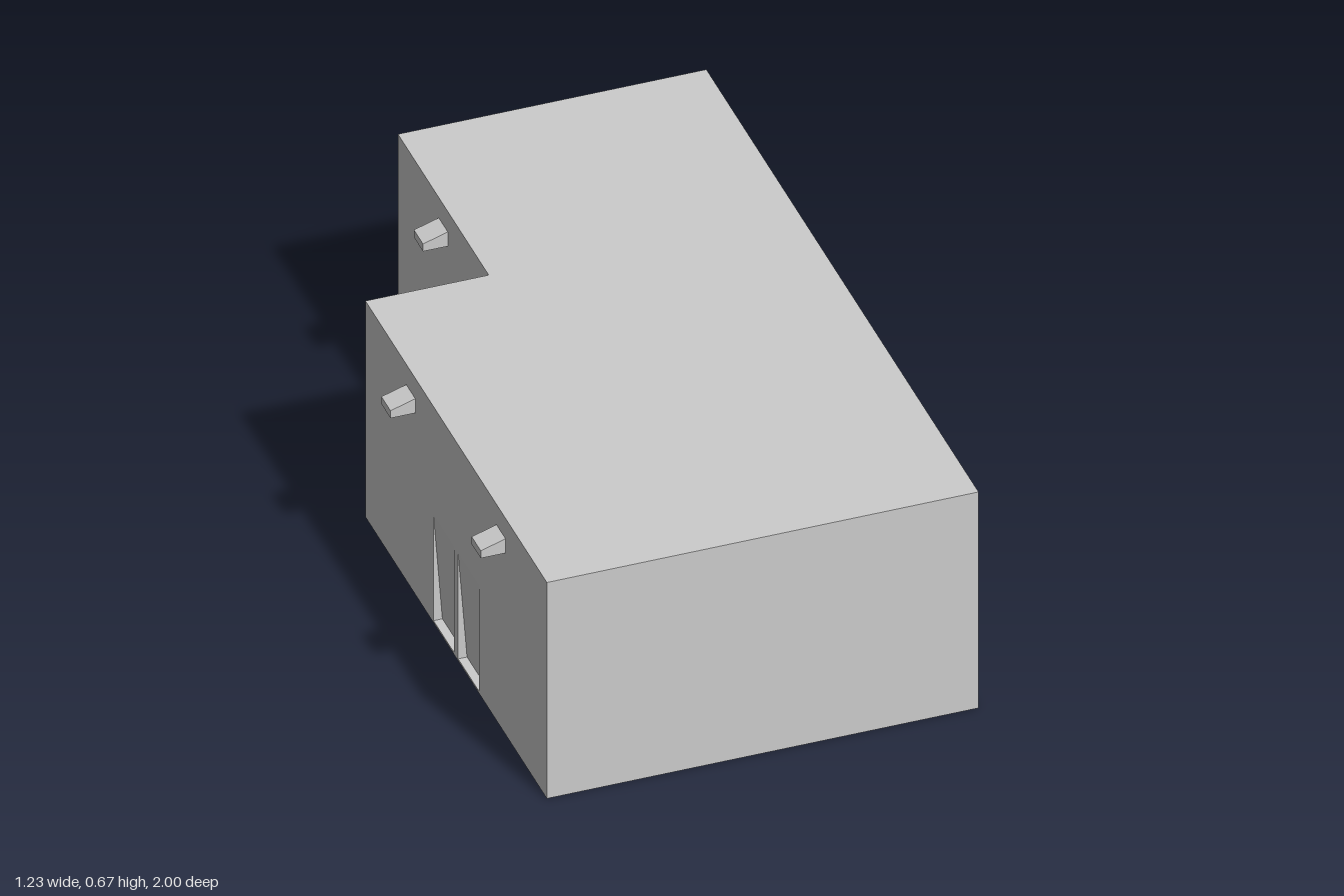
import * as THREE from 'three';

const H = 0.667;                       // wall height
const L = -0.55, R = 0.616, N = -0.217; // left wall, right wall, notch wall (x)
const STEP = -0.333;                   // z of the notch
const material = new THREE.MeshStandardMaterial({ color: 0xcccccc, side: THREE.DoubleSide, flatShading: true });

function mesh(name, geometry) {
  const m = new THREE.Mesh(geometry, material);
  m.name = name;
  return m;
}

// flat four-cornered face, corners counter-clockwise
function quad(name, a, b, c, d) {
  const g = new THREE.BufferGeometry();
  g.setAttribute('position', new THREE.Float32BufferAttribute([a, b, c, d].flat(), 3));
  g.setIndex([0, 1, 2, 0, 2, 3]);
  g.computeVertexNormals();
  return mesh(name, g);
}

// horizontal face from [x, z] corners, facing up
function slab(name, corners, y) {
  const shape = new THREE.Shape(corners.map(([x, z]) => new THREE.Vector2(x, -z)));
  return mesh(name, new THREE.ShapeGeometry(shape).rotateX(-Math.PI / 2).translate(0, y, 0));
}

// rectangle path in wall coordinates (z, y)
function rect(Type, z0, y0, z1, y1) {
  return new Type([[z0, y0], [z1, y0], [z1, y1], [z0, y1]].map(([z, y]) => new THREE.Vector2(z, y)));
}

// wall lamp: wedge with a sloping top, back against the wall
function lamp(wallX, z) {
  const profile = new THREE.Shape([[0, 0.56], [0, 0.604], [-0.067, 0.583], [-0.067, 0.56]]
    .map(([x, y]) => new THREE.Vector2(x, y)));
  const g = new THREE.ExtrudeGeometry(profile, { depth: 0.067, bevelEnabled: false });
  return mesh('wallLamp', g.translate(wallX, 0, z - 0.0335));
}

export function createModel() {
  const group = new THREE.Group();
  group.name = 'building';

  // L-shaped roof and the plain walls below it
  const outline = [[L, 1], [R, 1], [R, -1], [N, -1], [N, STEP], [L, STEP]];
  group.add(slab('roof', outline, H));
  const wallNames = ['frontWall', 'leftWall', 'backWall', 'notchSideWall', 'notchBackWall'];
  wallNames.forEach((name, i) => {
    const [x0, z0] = outline[i], [x1, z1] = outline[i + 1];
    group.add(quad(name, [x0, 0, z0], [x1, 0, z1], [x1, H, z1], [x0, H, z0]));
  });

  // floor under the rear part only
  group.add(slab('rearFloor', [[N, STEP], [R, STEP], [R, -1], [N, -1]], 0));

  // entrance wall with two door openings
  const z0 = 0.167, z1 = 0.5, top = 0.333, sill = 0.006;
  const leaves = [[z0, 0.319], [0.348, z1]];
  const wall = rect(THREE.Shape, STEP, 0, 1, H);
  leaves.forEach(([a, b]) => wall.holes.push(rect(THREE.Path, a, sill, b, top)));
  group.add(mesh('entranceWall', new THREE.ShapeGeometry(wall).rotateY(-Math.PI / 2).translate(L, 0, 0)));

  // door leaves leaning inward at the foot, with side gaps and sill
  const foot = L + 0.024;
  for (const [a, b] of leaves) {
    group.add(quad('doorLeaf', [foot, sill, a], [foot, sill, b], [L, top, b], [L, top, a]));
    group.add(quad('doorSill', [L, sill, a], [L, sill, b], [foot, sill, b], [foot, sill, a]));
    for (const z of [a, b]) {
      const g = new THREE.BufferGeometry();
      g.setAttribute('position', new THREE.Float32BufferAttribute([L, sill, z, L, top, z, foot, sill, z], 3));
      g.computeVertexNormals();
      group.add(mesh('doorReveal', g));
    }
  }

  // inner door surround
  const inner = L + 0.04;
  for (const z of [z0, z1])
    group.add(quad('doorFrameSide', [L, 0, z], [inner, 0, z], [inner, top, z], [L, top, z]));
  group.add(quad('doorFrameTop', [L, top, z1], [inner, top, z1], [inner, top, z0], [L, top, z0]));

  // lamps
  for (const [x, z] of [[N, -0.667], [L, 0], [L, 0.663]]) group.add(lamp(x, z));

  return group;
}
